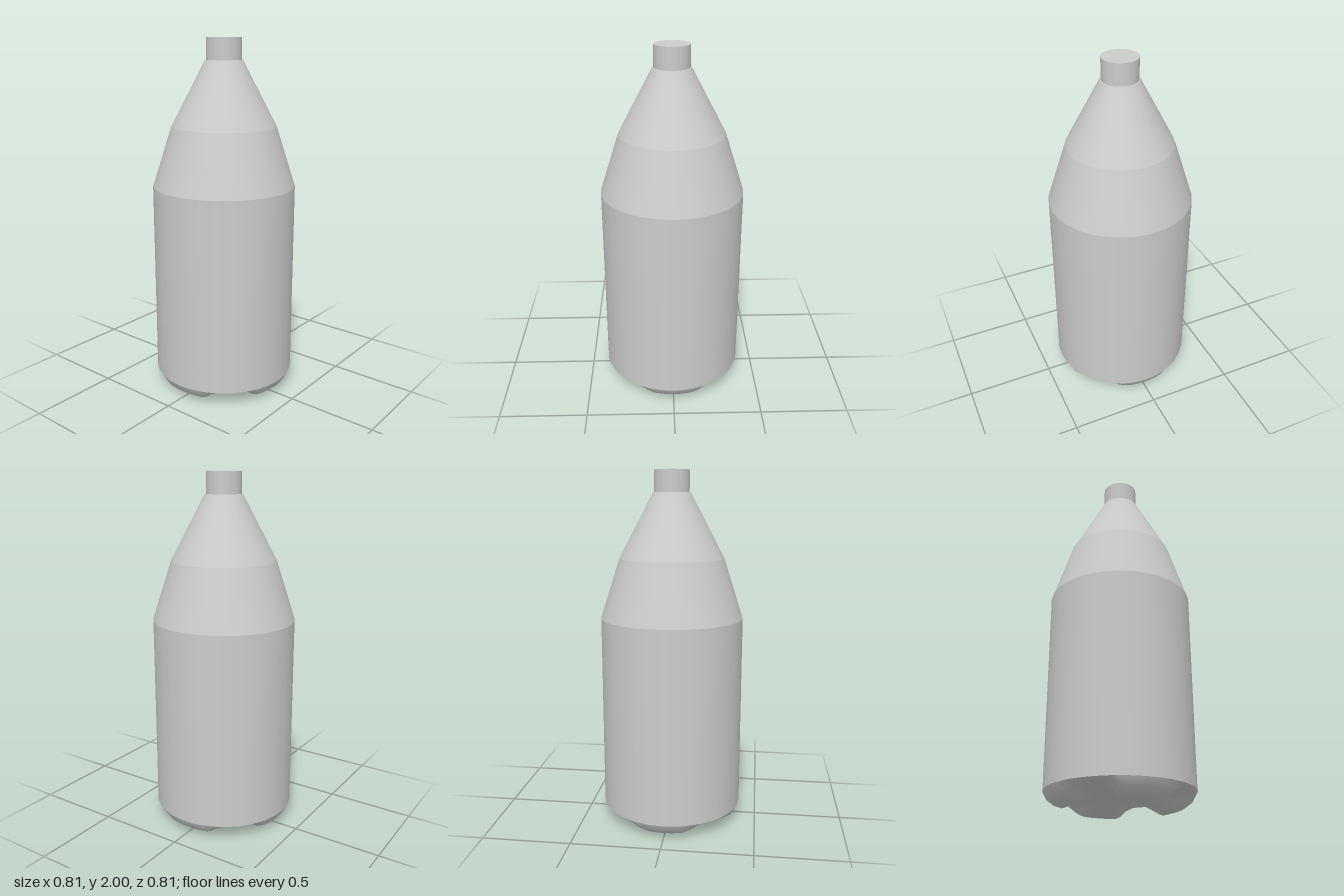
import * as THREE from 'three';
import { toCreasedNormals } from 'three/addons/utils/BufferGeometryUtils.js';

const SIDES = 32;
const material = new THREE.MeshStandardMaterial({ color: 0xcccccc });

function add(group, name, geometry) {
  const mesh = new THREE.Mesh(geometry, material);
  mesh.name = name;
  group.add(mesh);
}

// Straight or tapered band, smooth around and sharp at its rims
function band(rBottom, rTop, y0, y1, open = true) {
  return new THREE.CylinderGeometry(rTop, rBottom, y1 - y0, SIDES, 1, open).translate(0, (y0 + y1) / 2, 0);
}

// Underside with four feet on the axes and valleys on the diagonals
function footedBase() {
  // radius, height along a foot, height along a valley
  const profile = [
    [0, 0.055, 0.055], [0.08, 0.053, 0.055], [0.16, 0.04, 0.055], [0.23, 0.022, 0.057],
    [0.3, 0, 0.062], [0.34, 0.012, 0.068], [0.38, 0.04, 0.076], [0.403, 0.085, 0.085],
  ];
  const geometry = new THREE.LatheGeometry(profile.map(([r, y]) => new THREE.Vector2(r, y)), SIDES * 2);
  const pos = geometry.attributes.position;
  for (let i = 0; i < pos.count; i++) {
    const [, foot, valley] = profile[i % profile.length];
    const angle = Math.atan2(pos.getX(i), pos.getZ(i));
    const w = THREE.MathUtils.smoothstep(Math.cos(4 * angle), -0.8, 0.3);
    pos.setY(i, THREE.MathUtils.lerp(valley, foot, w));
  }
  return toCreasedNormals(geometry, 0.6);
}

export function createModel() {
  const bottle = new THREE.Group();
  bottle.name = 'bottle';
  add(bottle, 'base', footedBase());
  add(bottle, 'body', band(0.403, 0.403, 0.085, 1.185));
  add(bottle, 'lowerShoulder', band(0.403, 0.295, 1.185, 1.52));
  add(bottle, 'upperShoulder', band(0.295, 0.104, 1.52, 1.88, false));
  add(bottle, 'cap', band(0.098, 0.098, 1.88, 2, false));
  return bottle;
}
